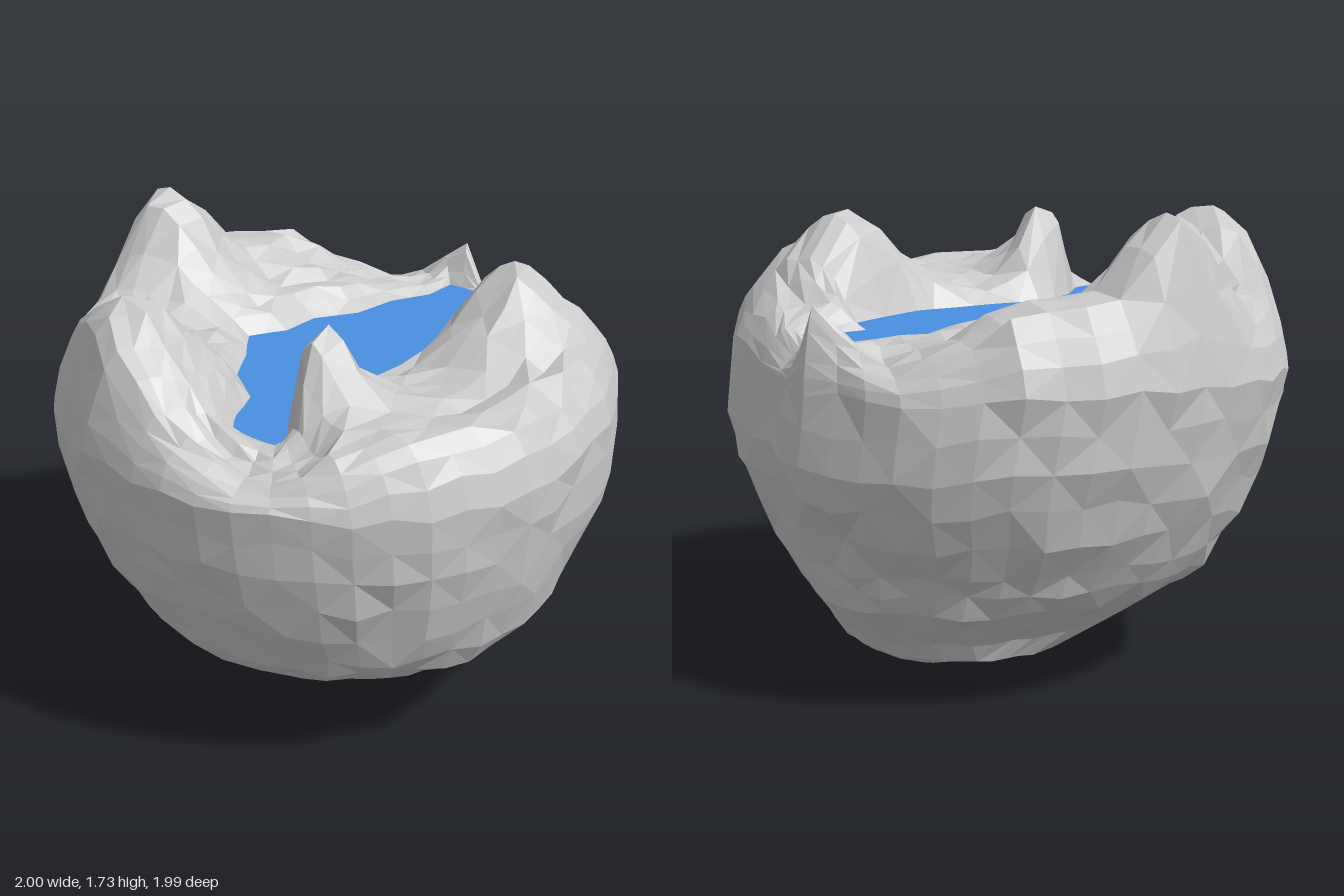
import * as THREE from 'three';

const COLS = 48, LAKE_Y = 1.28;

// Small seeded noise, -1..1
let seed = 7;
const rnd = () => {
  seed = (seed * 16807) % 2147483647;
  return (seed / 2147483647) * 2 - 1;
};

// Hull sections: y, min x, max x, min z, max z
const HULL = [
  [0, 0.28, 0.28, -0.19, -0.19],
  [0.03, 0.04, 0.41, -0.42, -0.1],
  [0.08, -0.22, 0.48, -0.54, 0.03],
  [0.15, -0.42, 0.53, -0.64, 0.16],
  [0.22, -0.48, 0.57, -0.69, 0.42],
  [0.3, -0.57, 0.61, -0.76, 0.6],
  [0.38, -0.68, 0.7, -0.82, 0.7],
  [0.45, -0.75, 0.81, -0.84, 0.76],
  [0.53, -0.8, 0.87, -0.86, 0.8],
  [0.66, -0.87, 0.91, -0.91, 0.87],
  [0.79, -0.92, 0.95, -0.96, 0.92],
  [0.92, -0.96, 0.98, -0.98, 0.96],
  [1.05, -0.98, 0.99, -0.97, 0.98],
  [1.17, -1, 1, -0.96, 0.99],
];

// Bulges and grooves running up the hull: angle from front in degrees, amount, width
const FOLDS = [
  [137, 0.06, 24],
  [215, 0.035, 20],
  [170, -0.045, 8],
  [185, 0.025, 7],
];

// Lake shore (x, z), from the front end round through +x
const SHORE = [
  [0.12, 0.63], [0.22, 0.64], [0.31, 0.63], [0.3, 0.56], [0.2, 0.44], [0.16, 0.26],
  [0.21, 0.1], [0.25, -0.1], [0.28, -0.22], [0.22, -0.54], [0.09, -0.58], [0.12, -0.8],
  [0, -0.84], [-0.11, -0.83], [-0.11, -0.7], [-0.18, -0.55], [-0.2, -0.38], [-0.29, -0.23],
  [-0.29, -0.08], [-0.36, 0.05], [-0.25, 0.18], [-0.16, 0.32], [0, 0.42], [0.06, 0.55],
];

// Hills and dips: x, z, height, spread in x, spread in z
const HILLS = [
  [-0.8, 0.01, 0.36, 0.19, 0.2],
  [-0.6, 0.05, 0.06, 0.12, 0.15],
  [-0.27, 0.69, 0.26, 0.29, 0.24],
  [0.47, -0.41, 0.3, 0.23, 0.23],
  [0.31, 0.4, 0.29, 0.15, 0.14],
  [0.4, 0.82, -0.13, 0.28, 0.2],
  [-0.7, -0.42, 0.07, 0.22, 0.2],
  [-0.46, -0.82, -0.13, 0.28, 0.18],
  [-0.11, -0.93, 0.2, 0.1, 0.1],
  [0.06, -0.93, -0.16, 0.08, 0.07],
  [0.52, -0.8, -0.07, 0.3, 0.13],
  [0.7, 0.15, -0.03, 0.2, 0.2],
];

const hillHeight = (x, z) => HILLS.reduce(
  (h, [cx, cz, a, sx, sz]) => h + a * Math.exp(-(((x - cx) / sx) ** 2) - ((z - cz) / sz) ** 2), 0);

// Faceted skin over closed loops of equal point count
function loft(rows, material) {
  const index = [];
  for (let j = 0; j < rows.length - 1; j++) {
    for (let i = 0; i < COLS; i++) {
      const n = (i + 1) % COLS;
      const a = j * COLS + i, b = j * COLS + n, c = b + COLS, d = a + COLS;
      if ((i + j) % 2) index.push(a, b, c, a, c, d);
      else index.push(a, b, d, b, c, d);
    }
  }
  const geometry = new THREE.BufferGeometry().setFromPoints(rows.flat());
  geometry.setIndex(index);
  geometry.computeVertexNormals();
  return new THREE.Mesh(geometry, material);
}

function hullRow([y, x0, x1, z0, z1]) {
  const size = Math.min(1, (x1 - x0) / 1.6);
  const rough = 0.014 * size ** 2;
  const foldDepth = THREE.MathUtils.smoothstep(y, 0.35, 0.9);
  return Array.from({ length: COLS }, (_, i) => {
    const a = (i / COLS) * Math.PI * 2, deg = (i / COLS) * 360;
    const fold = FOLDS.reduce((f, [at, amount, w]) => f + amount * Math.exp(-(((deg - at) / w) ** 2)), 0);
    const r = 1 + rough * rnd() * 0.8 + fold * foldDepth;
    return new THREE.Vector3(
      (x0 + x1) / 2 + (x1 - x0) / 2 * Math.sin(a) * r,
      y + rough * (1.4 * rnd() + 1.4 * Math.sin(3 * a + 1)),
      (z0 + z1) / 2 + (z1 - z0) / 2 * Math.cos(a) * r);
  });
}

// Ground loop between the shore (t = 0) and the rim (t = 1)
function groundRow(t, shore, rim) {
  return shore.map((s, i) => {
    if (t === 1) return rim[i];
    if (t === 0) return s.clone();
    const length = Math.hypot(rim[i].x - s.x, rim[i].z - s.z);
    const u = t + 0.02 * rnd() * (1 - t);
    const p = s.clone().lerp(rim[i], u);
    const base = 1.33 + 0.06 * THREE.MathUtils.smoothstep(u * length, 0, 0.4);
    const top = base + hillHeight(p.x, p.z) + 0.02 * rnd() * Math.min(1, length / 0.4);
    const bank = THREE.MathUtils.smoothstep(u * length, -0.02, 0.1);
    const edge = Math.min(1, (1 - u) * length / 0.11) ** 0.6;
    p.y = THREE.MathUtils.lerp(rim[i].y, THREE.MathUtils.lerp(LAKE_Y, top, bank), edge);
    return p;
  });
}

export function createModel() {
  const group = new THREE.Group();
  const rock = new THREE.MeshStandardMaterial({ color: 0xcccccc, flatShading: true });
  const water = new THREE.MeshStandardMaterial({ color: 0x4a90e2, flatShading: true });

  // Rounded rock underside
  const hull = HULL.map(hullRow);
  const base = loft(hull, rock);
  base.name = 'rockBase';
  group.add(base);

  // Hilly ground from rim to shore
  const curve = new THREE.CatmullRomCurve3(
    SHORE.map(([x, z]) => new THREE.Vector3(x, LAKE_Y, z)), true, 'catmullrom', 0.2);
  const shore = Array.from({ length: COLS }, (_, i) => curve.getPoint(i / COLS));
  const steps = [1, 0.96, 0.9, 0.83, 0.74, 0.64, 0.54, 0.44, 0.34, 0.25, 0.17, 0.09, 0];
  const ground = loft(steps.map((t) => groundRow(t, shore, hull[hull.length - 1])), rock);
  ground.name = 'ground';
  group.add(ground);

  // Lake surface
  const shape = new THREE.Shape(shore.map((p) => new THREE.Vector2(p.x, -p.z)));
  const lake = new THREE.Mesh(new THREE.ShapeGeometry(shape).rotateX(-Math.PI / 2), water);
  lake.position.y = LAKE_Y;
  lake.name = 'lake';
  group.add(lake);

  return group;
}
